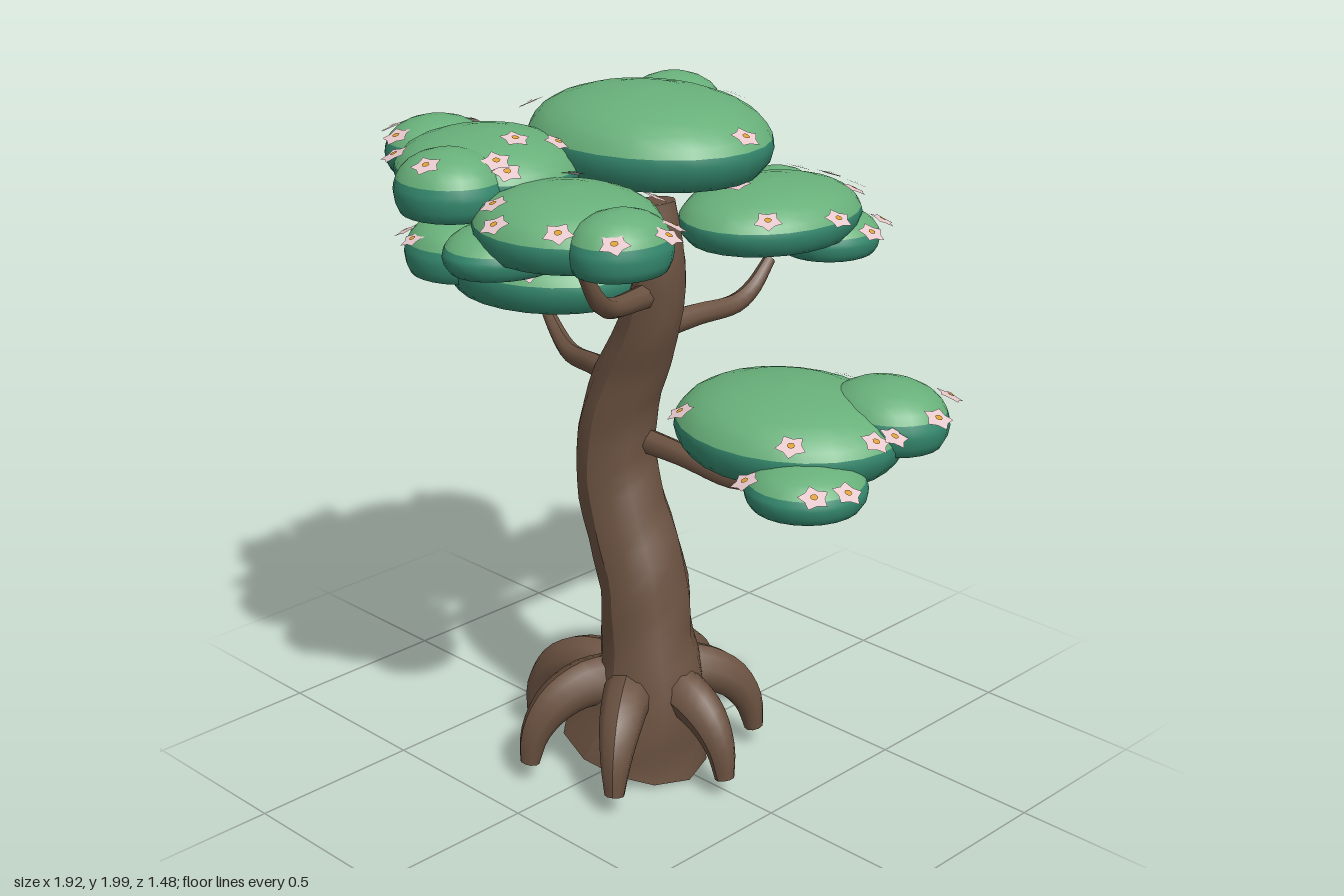
import * as THREE from 'three';

const mat = (name, color, side = THREE.FrontSide) => {
  const m = new THREE.MeshStandardMaterial({ color, side });
  m.name = name;
  return m;
};
const bark = mat('bark', 0x6b5241);
const leafLight = mat('leafLight', 0x68b07a);
const leafDark = mat('leafDark', 0x358a6f);
const petalPink = mat('petalPink', 0xe8cacd, THREE.DoubleSide);
const pollen = mat('pollen', 0xdc9f38, THREE.DoubleSide);

const V = (x, y, z = 0) => new THREE.Vector3(x, y, z);

function add(parent, name, geo, material) {
  const mesh = new THREE.Mesh(geo, material);
  mesh.name = name;
  parent.add(mesh);
  return mesh;
}

// Capped tube whose radius follows a list, one entry per path point
function limb(parent, name, points, radii, segs, sides, knot = 0) {
  const group = new THREE.Group();
  group.name = name;
  parent.add(group);
  const curve = new THREE.CatmullRomCurve3(points);
  const radiusAt = (u) => {
    const f = curve.getUtoTmapping(u) * (radii.length - 1);
    const i = Math.min(Math.floor(f), radii.length - 2);
    return THREE.MathUtils.lerp(radii[i], radii[i + 1], f - i);
  };
  const geo = new THREE.TubeGeometry(curve, segs, 1, sides);
  const pos = geo.attributes.position;
  const v = new THREE.Vector3();
  for (let i = 0; i <= segs; i++) {
    const c = curve.getPointAt(i / segs);
    for (let j = 0; j <= sides; j++) {
      const k = i * (sides + 1) + j;
      const a = (j % sides) * 2 * Math.PI / sides;
      const bump = 1 + knot * Math.sin(a * 3 + i * 0.7) * Math.cos(i * 1.1);
      v.fromBufferAttribute(pos, k).sub(c).multiplyScalar(radiusAt(i / segs) * bump).add(c);
      pos.setXYZ(k, v.x, v.y, v.z);
    }
  }
  geo.computeVertexNormals();
  add(group, name + 'Bark', geo, bark);
  for (const u of [0, 1]) {
    const p = curve.getPointAt(u);
    const cap = add(group, name + 'End', new THREE.CircleGeometry(radiusAt(u), sides), bark);
    cap.position.copy(p);
    cap.lookAt(p.clone().addScaledVector(curve.getTangentAt(u), u ? 1 : -1));
  }
}

// Unit leaf pad: flat underside, dark rim, light dome; side pads have a deeper dark rim
const profile = [[0, 0], [0.6, 0], [0.89, 0], [0.97, 0.16], [1, 0.34], [0.985, 0.44], [0.945, 0.55],
  [0.87, 0.68], [0.74, 0.8], [0.55, 0.9], [0.29, 0.975], [0, 1]];
const lathe = (pts) => new THREE.LatheGeometry(pts.map(([r, h]) => new THREE.Vector2(r, h)), 24);
const padParts = (split) => [lathe(profile.slice(0, split + 1)), lathe(profile.slice(split))];
const mainPad = padParts(5);
const sidePad = padParts(6);

// Leaf pads per cluster: x, z, radius x, radius z, bottom, top
const clusters = {
  leftLeaves: [
    [-0.58, -0.18, 0.33, 0.285, 1.27, 1.47],
    [-0.78, 0, 0.165, 0.145, 1.31, 1.48],
    [-0.7, -0.42, 0.19, 0.17, 1.23, 1.37]],
  rightLeaves: [
    [0.54, 0.01, 0.32, 0.28, 1.12, 1.31],
    [0.74, -0.14, 0.17, 0.15, 1.17, 1.33],
    [0.74, 0.17, 0.155, 0.16, 1.08, 1.2]],
  backLeaves: [
    [0.06, -0.44, 0.23, 0.29, 1.51, 1.67],
    [-0.08, -0.62, 0.125, 0.13, 1.49, 1.64],
    [0.15, -0.59, 0.14, 0.15, 1.45, 1.57]],
  crownLeaves: [
    [0.03, 0.01, 0.355, 0.295, 1.79, 2],
    [-0.13, -0.24, 0.135, 0.15, 1.8, 1.97],
    [-0.15, -0.2, 0.17, 0.185, 1.72, 1.87]],
  frontRightLeaves: [
    [-0.17, 0.4, 0.25, 0.24, 1.76, 1.92],
    [-0.43, 0.35, 0.135, 0.145, 1.76, 1.9],
    [-0.11, 0.58, 0.15, 0.14, 1.75, 1.91]],
  frontLeftLeaves: [
    [0.19, 0.455, 0.25, 0.235, 1.685, 1.85],
    [0.41, 0.49, 0.12, 0.14, 1.69, 1.84],
    [0.07, 0.56, 0.14, 0.17, 1.64, 1.755]],
};

// Blossom positions as x, z pairs
const blossoms = [
  -0.88, -0.44, -0.59, -0.52, -0.42, -0.41, -0.93, -0.08, -0.91, 0.08, -0.82, 0.13,
  -0.65, 0.11, -0.4, 0.06, -0.32, -0.21, -0.27, -0.25, -0.32, -0.11, -0.26, -0.12,
  -0.21, -0.64, -0.08, -0.72, 0.06, -0.69, 0.14, -0.71, 0.25, -0.7, 0.2, -0.63,
  0.31, -0.58, 0.34, -0.4, 0.22, -0.25, 0.05, -0.31, 0.1, -0.24, 0.51, -0.24,
  0.72, -0.28, 0.84, -0.27, 0.92, -0.12, 0.87, -0.01, 0.86, 0.05, 0.9, 0.2,
  0.86, 0.28, 0.67, 0.32, 0.73, 0.22, 0.38, 0.02, 0.28, 0.24, 0.37, 0.24,
  0, 0.31, 0.07, 0.33, -0.28, 0.15, -0.46, 0.2, -0.54, 0.26, -0.54, 0.41,
  -0.44, 0.48, -0.29, 0.61, -0.08, 0.68, -0.04, 0.42, 0, 0.52, 0.04, 0.52,
  0.11, 0.63, 0.18, 0.69, 0.34, 0.63, 0.49, 0.59, 0.53, 0.45, 0.48, 0.38,
];

// Find the pad a blossom rests on: the highest one beneath it, else the nearest
function restOn(x, z, pads) {
  let best = null;
  for (const [cx, cz, rx, rz, y0, y1] of pads) {
    const d = Math.hypot((x - cx) / rx, (z - cz) / rz);
    const e = Math.min(d, 0.94);
    const y = y0 + (y1 - y0) * (0.36 + 0.64 * Math.sqrt(1 - e * e));
    const score = d < 1 ? y : -d;
    if (!best || score > best.score) best = { score, y, dx: x - cx, dz: z - cz, e };
  }
  return best;
}

export function createModel() {
  const tree = new THREE.Group();
  tree.name = 'tree';

  // Winding trunk
  limb(tree, 'trunk',
    [V(0, 0.08, 0.03), V(0.055, 0.25, 0.03), V(0.04, 0.42, 0.03), V(0.015, 0.6, 0.025), V(-0.05, 0.79, 0.03),
      V(-0.08, 0.94, 0.03), V(-0.06, 1.1, 0.025), V(-0.01, 1.23, 0.02), V(0.05, 1.36, 0.025),
      V(0.085, 1.52, 0.025), V(0.07, 1.7, 0.028)],
    [0.215, 0.16, 0.132, 0.128, 0.122, 0.115, 0.105, 0.095, 0.083, 0.07, 0.053], 30, 12, 0.04);

  // Arched roots around the base
  for (const degrees of [0, 56, 109, 163, 215, 260, 305]) {
    const a = degrees * Math.PI / 180;
    const at = (r, y) => V(Math.cos(a) * r, y, 0.025 + Math.sin(a) * r);
    limb(tree, 'root', [at(0.05, 0.27), at(0.17, 0.282), at(0.265, 0.24), at(0.325, 0.16), at(0.345, 0.07)],
      [0.08, 0.07, 0.06, 0.043, 0.028], 14, 10);
  }

  // Branches reaching under the leaf clusters
  const branches = {
    leftBranch: [V(-0.05, 1.16, 0.02), V(-0.22, 1.15, -0.03), V(-0.38, 1.135, -0.08), V(-0.48, 1.165, -0.12), V(-0.59, 1.24, -0.16)],
    rightBranch: [V(-0.05, 1, 0.01), V(0.15, 0.99, 0), V(0.34, 0.975, 0), V(0.44, 1, 0), V(0.55, 1.065, 0)],
    backBranch: [V(0.04, 1.33, 0), V(0.05, 1.335, -0.15), V(0.06, 1.335, -0.3), V(0.06, 1.365, -0.37), V(0.06, 1.435, -0.44)],
    frontRightBranch: [V(0.08, 1.54, 0.02), V(0, 1.555, 0.12), V(-0.11, 1.575, 0.23), V(-0.15, 1.61, 0.28), V(-0.19, 1.7, 0.33)],
    frontLeftBranch: [V(0.07, 1.45, 0.02), V(0.1, 1.455, 0.14), V(0.15, 1.48, 0.28), V(0.18, 1.525, 0.35), V(0.19, 1.62, 0.41)],
  };
  for (const [name, path] of Object.entries(branches))
    limb(tree, name, path, [0.038, 0.032, 0.028, 0.024, 0.017], 16, 8);

  // Leaf clusters
  for (const [name, pads] of Object.entries(clusters)) {
    const cluster = new THREE.Group();
    cluster.name = name;
    tree.add(cluster);
    pads.forEach(([x, z, rx, rz, y0, y1], i) => {
      const [rim, dome] = i ? sidePad : mainPad;
      const pad = new THREE.Group();
      pad.name = 'leafPad';
      pad.position.set(x, y0, z);
      pad.scale.set(rx, y1 - y0, rz);
      add(pad, 'padRim', rim, leafDark);
      add(pad, 'padDome', dome, leafLight);
      cluster.add(pad);
    });
  }

  // Five-petalled blossoms scattered along the pad edges
  const star = new THREE.Shape();
  for (let i = 0; i < 10; i++) {
    const r = i % 2 ? 0.027 : 0.041, a = i * Math.PI / 5;
    star[i ? 'lineTo' : 'moveTo'](Math.cos(a) * r, Math.sin(a) * r);
  }
  const petalGeo = new THREE.ShapeGeometry(star).rotateX(-Math.PI / 2);
  const heartGeo = new THREE.CircleGeometry(0.01, 8).rotateX(-Math.PI / 2).translate(0, 0.004, 0);
  const pads = Object.values(clusters).flat();
  for (let i = 0; i < blossoms.length; i += 2) {
    const x = blossoms[i], z = blossoms[i + 1];
    const spot = restOn(x, z, pads);
    const flower = new THREE.Group();
    flower.name = 'blossom';
    flower.position.set(x, spot.y + 0.014, z);
    const normal = V(spot.dx, 0, spot.dz).normalize().multiplyScalar(0.5 * spot.e).add(V(0, 1)).normalize();
    flower.quaternion.setFromUnitVectors(V(0, 1), normal);
    flower.rotateY(i * 1.3);
    add(flower, 'petals', petalGeo, petalPink);
    add(flower, 'flowerCentre', heartGeo, pollen);
    tree.add(flower);
  }
  return tree;
}
